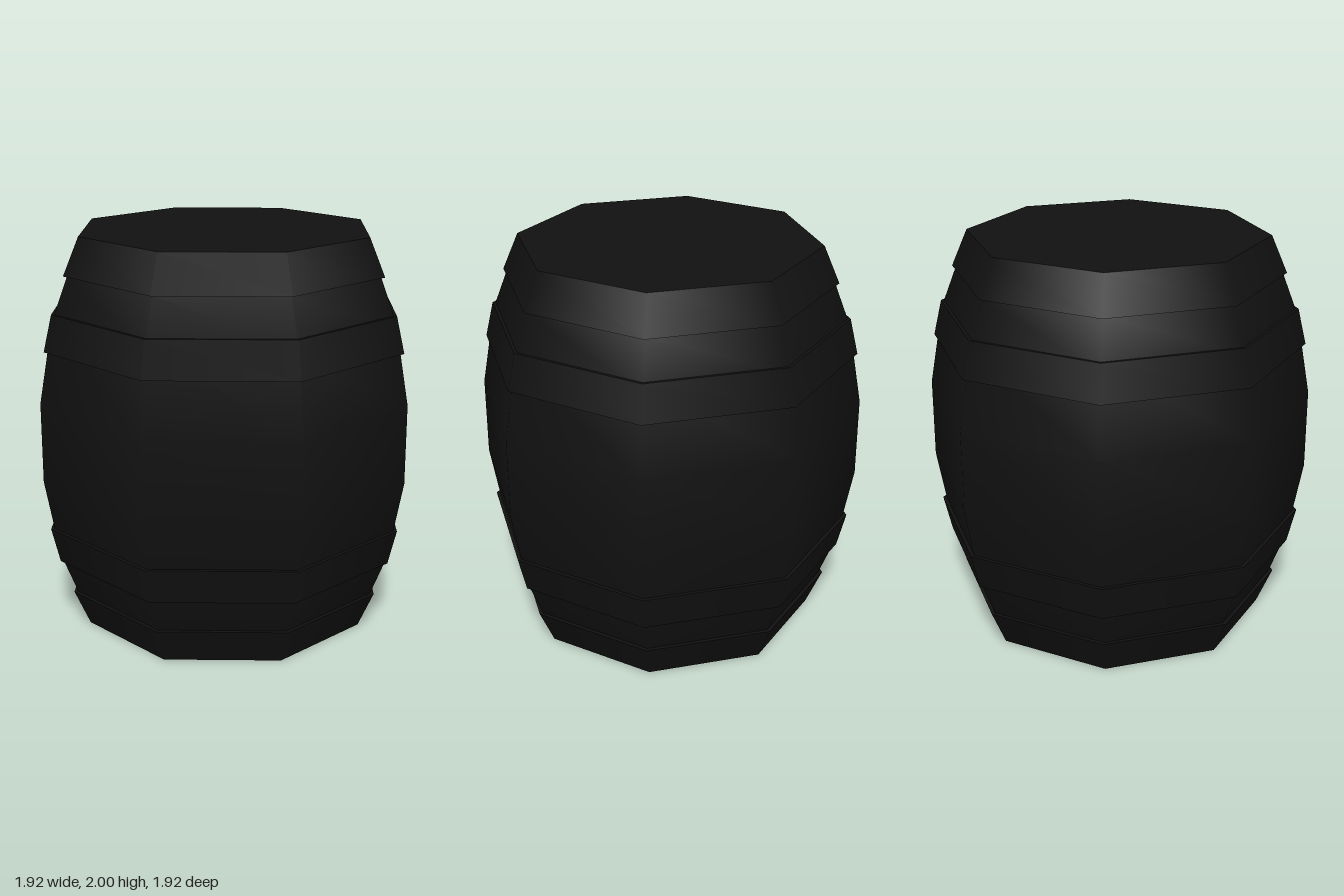
import * as THREE from 'three';
import { mergeGeometries } from 'three/addons/utils/BufferGeometryUtils.js';

const SIDES = 8;

// Revolve profile strips [r, y] running bottom to top; each strip is smooth, edges between strips are sharp
function revolve(name, strips, material) {
  const parts = strips.map((pts) =>
    new THREE.LatheGeometry(pts.map(([r, y]) => new THREE.Vector2(r, y)), SIDES));
  const mesh = new THREE.Mesh(mergeGeometries(parts), material);
  mesh.name = name;
  return mesh;
}

// Band around the barrel: under lip, outer face, upper lip
function hoop(name, [r0, y0], [r1, y1], lip, material) {
  return revolve(name, [
    [[r0 - lip, y0], [r0, y0]],
    [[r0, y0], [r1, y1]],
    [[r1, y1], [r1 - lip, y1]],
  ], material);
}

export function createModel() {
  const group = new THREE.Group();
  group.name = 'barrel';
  const wood = new THREE.MeshStandardMaterial({ color: 0x111111 });
  const metal = new THREE.MeshStandardMaterial({ color: 0x111111 });

  // Bulging staves, symmetric about y = 1
  const lower = [[0.73, 0], [0.805, 0.185], [0.888, 0.4], [0.96, 0.8]];
  const upper = lower.map(([r, y]) => [r, 2 - y]).reverse();
  group.add(revolve('staves', [[...lower, ...upper]], wood));

  // Flat lids
  group.add(revolve('bottomLid', [[[0, 0], [0.74, 0]]], wood));
  group.add(revolve('topLid', [[[0.74, 2], [0, 2]]], wood));

  // Hoops, mirrored top and bottom
  const hoops = [
    ['EndHoop', [0.825, 1.815], [0.745, 2]],
    ['MiddleHoop', [0.933, 1.455], [0.89, 1.635]],
  ];
  for (const [name, a, b] of hoops) {
    const flip = ([r, y]) => [r, 2 - y];
    group.add(hoop('upper' + name, a, b, 0.04, metal));
    group.add(hoop('lower' + name, flip(b), flip(a), 0.04, metal));
  }
  return group;
}
